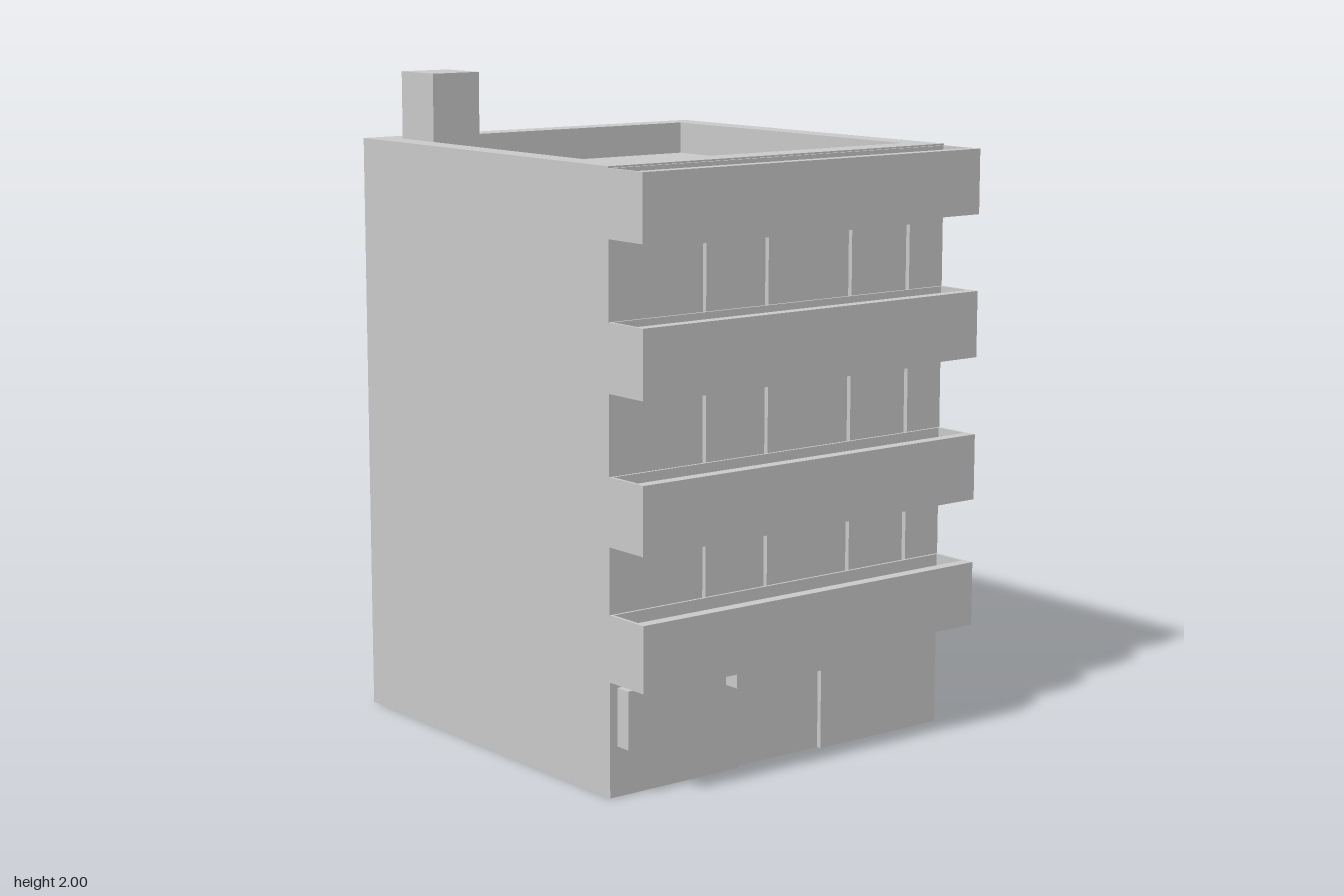
import * as THREE from 'three';

const material = new THREE.MeshStandardMaterial({ color: 0xcccccc, side: THREE.DoubleSide, flatShading: true });
const FACES = ['right', 'left', 'top', 'bottom', 'front', 'back'];

function addMesh(parent, name, geometry) {
  const mesh = new THREE.Mesh(geometry, material);
  mesh.name = name;
  parent.add(mesh);
  return mesh;
}

// Box given by its limits, with some faces left open
function addBox(parent, name, [x0, x1], [y0, y1], [z0, z1], open = []) {
  const g = new THREE.BoxGeometry(x1 - x0, y1 - y0, z1 - z0);
  const index = Array.from(g.index.array).filter((_, i) => !open.includes(FACES[Math.floor(i / 6)]));
  g.setIndex(index);
  g.clearGroups();
  g.translate((x0 + x1) / 2, (y0 + y1) / 2, (z0 + z1) / 2);
  return addMesh(parent, name, g);
}

function rectangle(Type, [x0, x1], [y0, y1]) {
  const r = new Type();
  r.moveTo(x0, y0).lineTo(x1, y0).lineTo(x1, y1).lineTo(x0, y1).closePath();
  return r;
}

// Flat horizontal rim around a rectangular opening
function addRim(parent, name, y, xOut, zOut, xIn, zIn) {
  const flip = ([a, b]) => [-b, -a];
  const shape = rectangle(THREE.Shape, xOut, flip(zOut));
  shape.holes.push(rectangle(THREE.Path, xIn, flip(zIn)));
  const g = new THREE.ShapeGeometry(shape).rotateX(-Math.PI / 2).translate(0, y, 0);
  return addMesh(parent, name, g);
}

export function createModel() {
  const model = new THREE.Group();
  model.name = 'apartmentBuilding';
  const W = 0.63, BACK = -0.705, FRONT = 0.55, ROOF = 1.795, RECESS = 0.015;

  // Side and back walls, open underneath
  addBox(model, 'outerWalls', [-W, W], [0, ROOF], [BACK, FRONT], ['top', 'bottom', 'front']);

  // Front wall outline with a doorway notch
  const wall = new THREE.Shape();
  [[-W, 0], [-0.16, 0], [-0.16, 0.255], [0.16, 0.255], [0.16, 0], [W, 0], [W, ROOF], [-W, ROOF]]
    .forEach(([x, y], i) => (i ? wall.lineTo(x, y) : wall.moveTo(x, y)));
  wall.closePath();

  // Recessed windows: two pairs on each upper floor
  const columns = [[-0.5, -0.285], [-0.27, -0.055], [0.05, 0.265], [0.28, 0.495]];
  for (const top of [0.69, 1.125, 1.56]) {
    for (const xs of columns) {
      const ys = [top - 0.23, top];
      wall.holes.push(rectangle(THREE.Path, xs, ys));
      addBox(model, 'window', xs, ys, [FRONT - RECESS, FRONT], ['front']);
    }
  }
  addMesh(model, 'frontWall', new THREE.ShapeGeometry(wall).translate(0, 0, FRONT));

  // Entrance: recessed door, canopy and wall box
  addBox(model, 'door', [-0.16, 0.16], [0, 0.255], [FRONT - RECESS, FRONT], ['front', 'bottom']);
  addBox(model, 'doorCanopy', [-0.207, 0.204], [0.26, 0.34], [FRONT, 0.6], ['back']);
  addBox(model, 'wallBox', [-0.603, -0.423], [0.148, 0.32], [FRONT, 0.6], ['back']);

  // Balconies: outer shell, rim and hollow inside
  for (const [y0, y1] of [[0.34, 0.535], [0.73, 0.93], [1.165, 1.365], [1.595, 1.79]]) {
    const balcony = new THREE.Group();
    balcony.name = 'balcony';
    const xs = [-W, W], zs = [FRONT, 0.705], xIn = [-0.62, 0.62], zIn = [0.558, 0.668];
    addBox(balcony, 'parapet', xs, [y0, y1], zs, ['top', 'back']);
    addRim(balcony, 'parapetRim', y1, xs, zs, xIn, zIn);
    addBox(balcony, 'balconyInside', xIn, [y1 - 0.13, y1], zIn, ['top']);
    model.add(balcony);
  }

  // Sunken flat roof with its surrounding rim
  const roofX = [-0.547, 0.545], roofZ = [-0.62, 0.457];
  addRim(model, 'roofRim', ROOF, [-W, W], [BACK, FRONT], roofX, roofZ);
  addBox(model, 'sunkenRoof', roofX, [ROOF - 0.1, ROOF], roofZ, ['top']);

  // Chimney in the back corner
  addBox(model, 'chimney', [-0.544, -0.377], [ROOF - 0.1, 2], [-0.617, -0.444], ['bottom']);

  return model;
}
